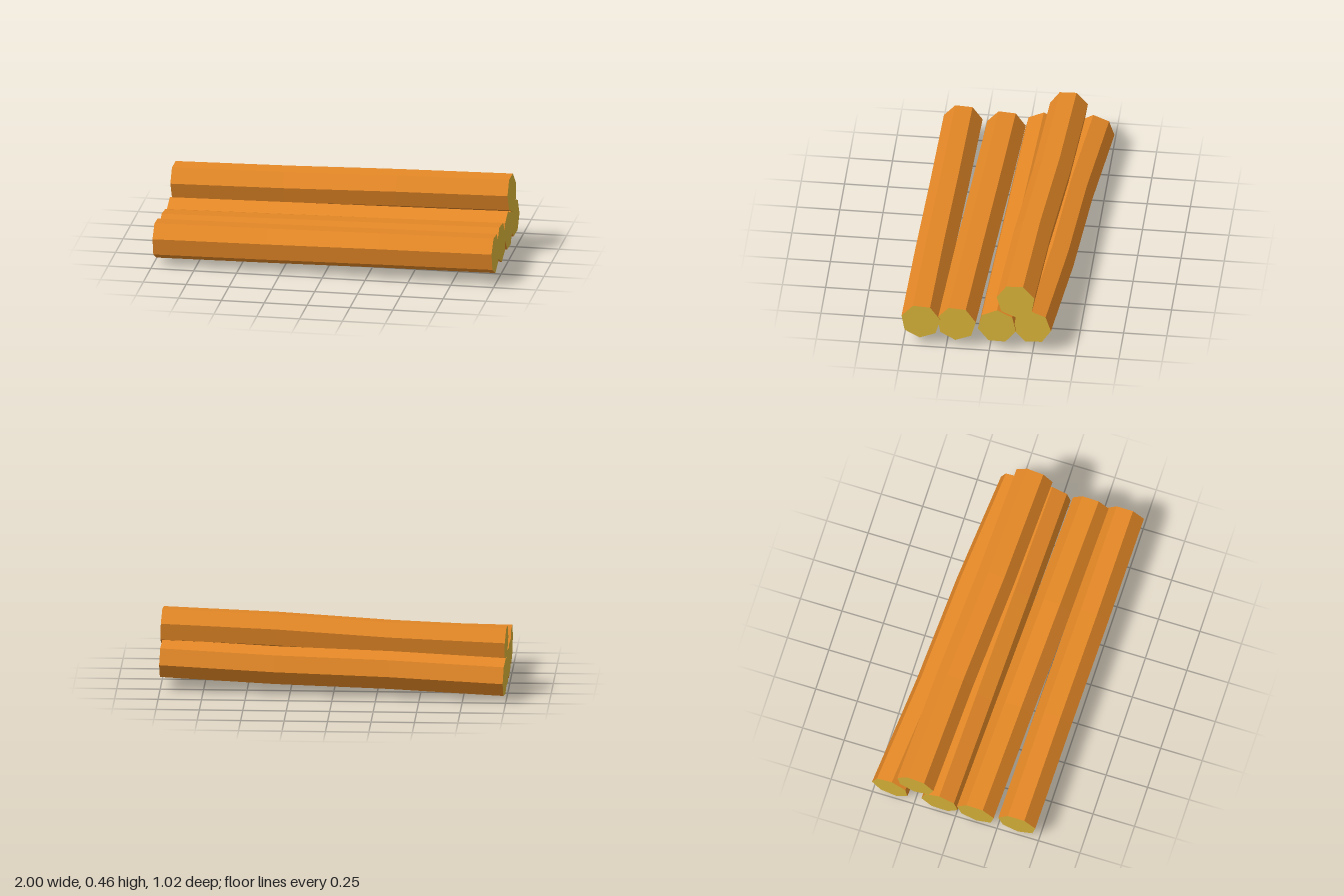
import * as THREE from 'three';

const SIDES = 7;

// right and left: [y, z] of the log's axis at its two ends; bend: share of the shift at the inner rings
const LOGS = [
  { name: 'frontLog', radius: 0.115, phase: 15.5, right: [0.174, 0.397], left: [0.143, 0.368], bend: [0.27, 0.7] },
  { name: 'secondLog', radius: 0.115, phase: 15.5, right: [0.174, 0.191], left: [0.118, 0.118], bend: [0.33, 0.68] },
  { name: 'thirdLog', radius: 0.113, phase: 90, right: [0.173, -0.044], left: [0.125, -0.099], bend: [0.33, 0.67] },
  { name: 'backLog', radius: 0.112, phase: 84, right: [0.184, -0.246], left: [0.131, -0.397], bend: [0.38, 0.62] },
  { name: 'topLog', radius: 0.113, phase: 9, right: [0.36, -0.153], left: [0.29, -0.246], bend: [0.28, 0.72] },
];

// Seven-sided, slightly bent log with ends cut square to its axis
function logGeometry({ radius, phase, right, left, bend }) {
  const half = 0.992;
  const slopeY = (right[0] - left[0]) / (2 * half);
  const slopeZ = (right[1] - left[1]) / (2 * half);
  const shares = [1, bend[1], bend[0], 0];
  const rings = shares.map((share, i) => {
    const x = -half + (2 * half * i) / 3;
    const cy = THREE.MathUtils.lerp(right[0], left[0], share);
    const cz = THREE.MathUtils.lerp(right[1], left[1], share);
    return Array.from({ length: SIDES }, (_, j) => {
      const a = THREE.MathUtils.degToRad(phase) + (j * 2 * Math.PI) / SIDES;
      const dy = radius * Math.sin(a), dz = radius * Math.cos(a);
      return [x - slopeY * dy - slopeZ * dz, cy + dy, cz + dz];
    });
  });

  const points = [];
  // bark faces
  for (let i = 0; i < 3; i++) {
    for (let j = 0; j < SIDES; j++) {
      const k = (j + 1) % SIDES;
      const a = rings[i][j], b = rings[i + 1][j], c = rings[i + 1][k], d = rings[i][k];
      points.push(a, b, c, a, c, d);
    }
  }
  const barkCount = points.length;
  // cut ends
  for (let j = 1; j < SIDES - 1; j++) {
    points.push(rings[0][0], rings[0][j], rings[0][j + 1]);
    points.push(rings[3][0], rings[3][j + 1], rings[3][j]);
  }

  const geometry = new THREE.BufferGeometry();
  geometry.setAttribute('position', new THREE.Float32BufferAttribute(points.flat(), 3));
  geometry.addGroup(0, barkCount, 0);
  geometry.addGroup(barkCount, points.length - barkCount, 1);
  geometry.computeVertexNormals();
  return geometry;
}

export function createModel() {
  const bark = new THREE.MeshStandardMaterial({ color: 0xe38726, flatShading: true });
  bark.name = 'bark';
  const cutWood = new THREE.MeshStandardMaterial({ color: 0xd6b138, flatShading: true });
  cutWood.name = 'cutWood';

  const group = new THREE.Group();
  group.name = 'logPile';
  for (const log of LOGS) {
    const mesh = new THREE.Mesh(logGeometry(log), [bark, cutWood]);
    mesh.name = log.name;
    group.add(mesh);
  }
  return group;
}
